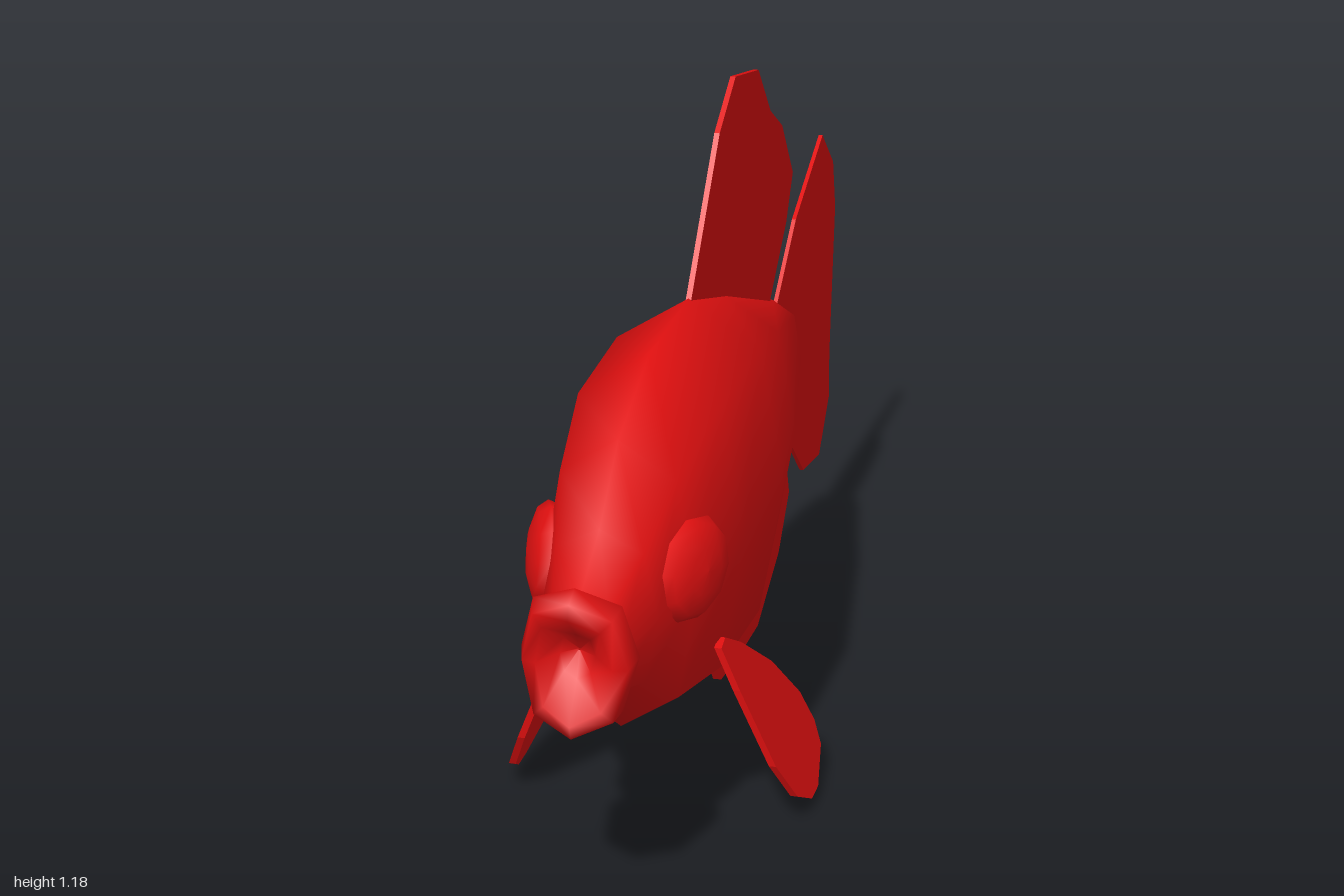
import * as THREE from 'three';

const material = new THREE.MeshStandardMaterial({ color: 0xe01010, side: THREE.DoubleSide });
const SIDES = 8;

// Eight-sided skin over sections [z, top, bottom, halfWidth, sideSetback]
function loft(sections) {
  const pos = [], index = [];
  sections.forEach(([z, top, bottom, w, setback = 0], j) => {
    for (let i = 0; i < SIDES; i++) {
      const a = (i / SIDES) * Math.PI * 2;
      const k = i % 2 ? 1.06 : 1;
      const s = Math.sin(a) * k, c = Math.cos(a) * k;
      pos.push(w * s, (top + bottom) / 2 + ((top - bottom) / 2) * c, z - setback * s * s);
      if (j === sections.length - 1) continue;
      const p = j * SIDES + i, q = j * SIDES + (i + 1) % SIDES;
      index.push(p, q, p + SIDES, q, q + SIDES, p + SIDES);
    }
  });
  const g = new THREE.BufferGeometry();
  g.setAttribute('position', new THREE.Float32BufferAttribute(pos, 3));
  g.setIndex(index);
  g.computeVertexNormals();
  return g;
}

// Thin plate from an outline of [z, y] points, standing in the plane x = 0
function fin(outline, thickness) {
  const shape = new THREE.Shape(outline.map(([z, y]) => new THREE.Vector2(z, y)));
  const g = new THREE.ExtrudeGeometry(shape, { depth: thickness, bevelEnabled: false });
  g.translate(0, 0, -thickness / 2);
  g.rotateY(-Math.PI / 2);
  return g;
}

export function createModel() {
  const group = new THREE.Group();
  const add = (name, geometry) => {
    const mesh = new THREE.Mesh(geometry, material);
    mesh.name = name;
    group.add(mesh);
    return mesh;
  };

  // Body, nose to tail root
  add('body', loft([
    [0.92, 0.61, 0.42, 0.065],
    [0.80, 0.68, 0.37, 0.1],
    [0.68, 0.79, 0.26, 0.135],
    [0.48, 0.865, 0.21, 0.168],
    [0.21, 0.87, 0.195, 0.175],
    [-0.05, 0.785, 0.265, 0.137],
    [-0.45, 0.63, 0.405, 0.057],
    [-0.48, 0.525, 0.515, 0.003],
  ]));

  // Pouting mouth, from the throat out over the lips and back to the neck
  add('mouth', loft([
    [0.925, 0.522, 0.518, 0.002],
    [0.945, 0.555, 0.475, 0.03, 0.01],
    [0.993, 0.6, 0.41, 0.065, 0.03],
    [0.985, 0.625, 0.385, 0.09, 0.03],
    [0.95, 0.64, 0.39, 0.1, 0.03],
    [0.905, 0.61, 0.42, 0.068],
  ]));

  // Fins on the centre line
  add('dorsalFin', fin([
    [0.21, 0.865], [0, 1.11], [-0.12, 1.18], [-0.3, 1.14], [-0.4, 1.03], [-0.5, 0.97],
    [-0.595, 0.845], [-0.54, 0.76], [-0.41, 0.65], [-0.38, 0.6], [0.1, 0.75],
  ], 0.01));
  add('tailFin', fin([
    [-0.45, 0.6], [-0.63, 0.735], [-0.87, 0.835], [-0.975, 0.745], [-1, 0.64],
    [-0.96, 0.33], [-0.96, 0.23], [-0.87, 0.135], [-0.72, 0.16], [-0.45, 0.4],
  ], 0.008));
  add('analFin', fin([
    [0.17, 0.21], [0.06, 0.11], [0, 0.025], [-0.13, 0.008], [-0.3, 0], [-0.48, 0.08],
    [-0.57, 0.175], [-0.54, 0.26], [-0.46, 0.33], [-0.35, 0.375], [-0.1, 0.32],
  ], 0.016));

  for (const side of [1, -1]) {
    const prefix = side > 0 ? 'left' : 'right';

    // Pectoral fin, splayed outward toward its tip
    const g = fin([
      [0.545, 0.36], [0.54, 0.28], [0.52, 0.13], [0.48, 0.055], [0.42, 0.022], [0.37, 0.022],
      [0.28, 0.06], [0.265, 0.1], [0.28, 0.16], [0.35, 0.25], [0.45, 0.33], [0.51, 0.365],
    ], 0.013);
    const p = g.attributes.position;
    for (let i = 0; i < p.count; i++) {
      p.setX(i, p.getX(i) + side * (0.135 + (0.365 - p.getY(i)) * 0.4));
    }
    g.computeVertexNormals();
    add(prefix + 'PectoralFin', g);

    // Shallow domed eye lying along the cheek
    const profile = [[0.085, -0.04], [0.1, 0], [0.085, 0.018], [0.045, 0.03], [0, 0.033]];
    const dome = new THREE.LatheGeometry(profile.map(([r, y]) => new THREE.Vector2(r, y)), 10);
    dome.scale(0.85, 1, 1);
    const eye = add(prefix + 'Eye', dome);
    eye.position.set(side * 0.128, 0.57, 0.682);
    eye.quaternion.setFromUnitVectors(
      new THREE.Vector3(0, 1, 0), new THREE.Vector3(side * 0.93, 0.12, 0.33).normalize());
  }
  return group;
}
